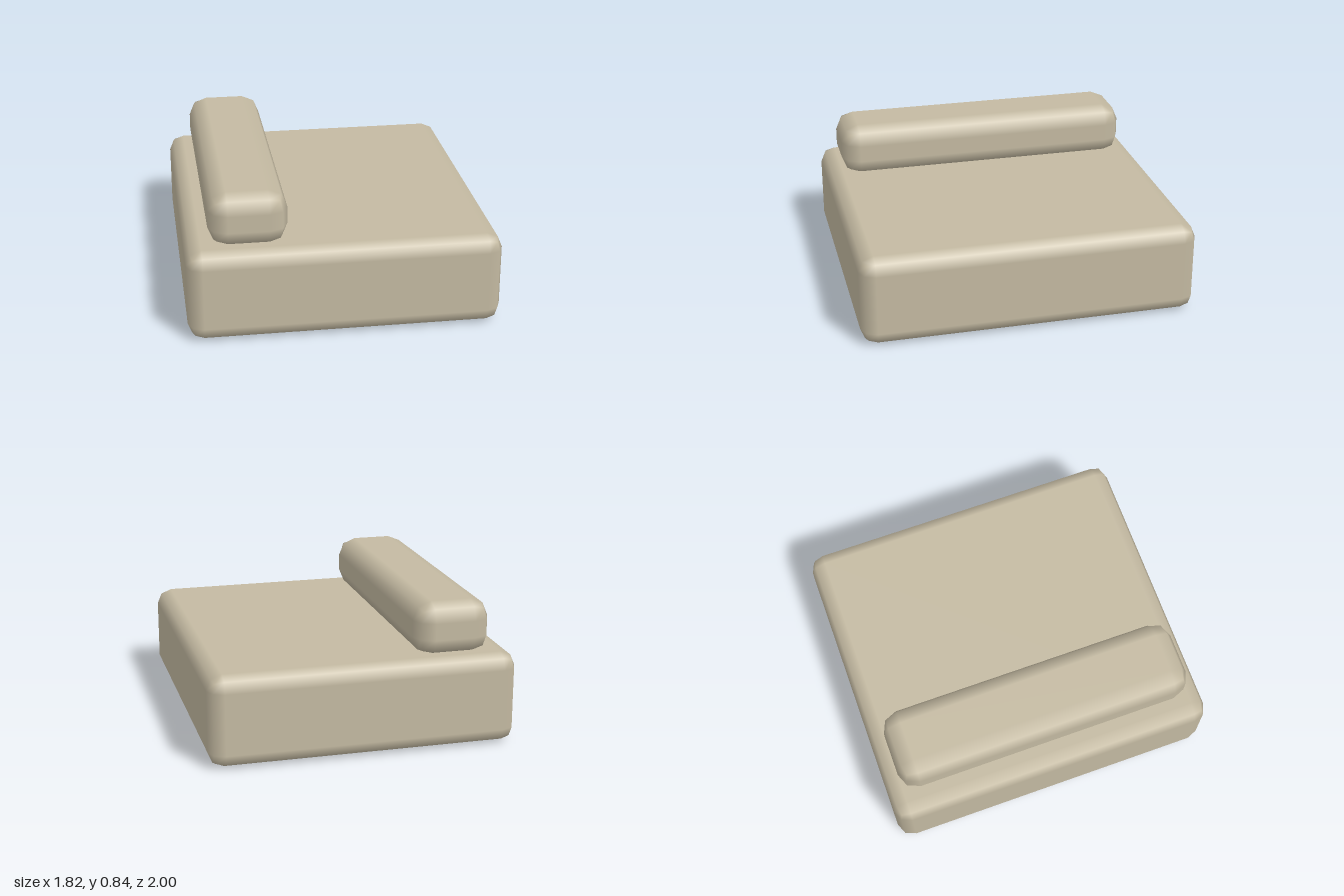
import * as THREE from 'three';
import { RoundedBoxGeometry } from 'three/addons/geometries/RoundedBoxGeometry.js';

export function createModel() {
  const model = new THREE.Group();
  model.name = 'sofaSection';

  const fabric = new THREE.MeshStandardMaterial({ color: 0xc4baa2 });
  fabric.name = 'beigeFabric';

  // Softly bevelled upholstered block
  function cushion(name, size, radius, position) {
    const mesh = new THREE.Mesh(new RoundedBoxGeometry(...size, 1, radius), fabric);
    mesh.name = name;
    mesh.position.set(...position);
    model.add(mesh);
  }

  // Wide seat block standing on the floor
  cushion('seat', [1.818, 0.545, 2], 0.091, [0, 0.2725, 0]);

  // Long bolster, sunk slightly into the seat along its right side
  cushion('backBolster', [0.4545, 0.318, 1.818], 0.109, [-0.546, 0.686, 0]);

  return model;
}
